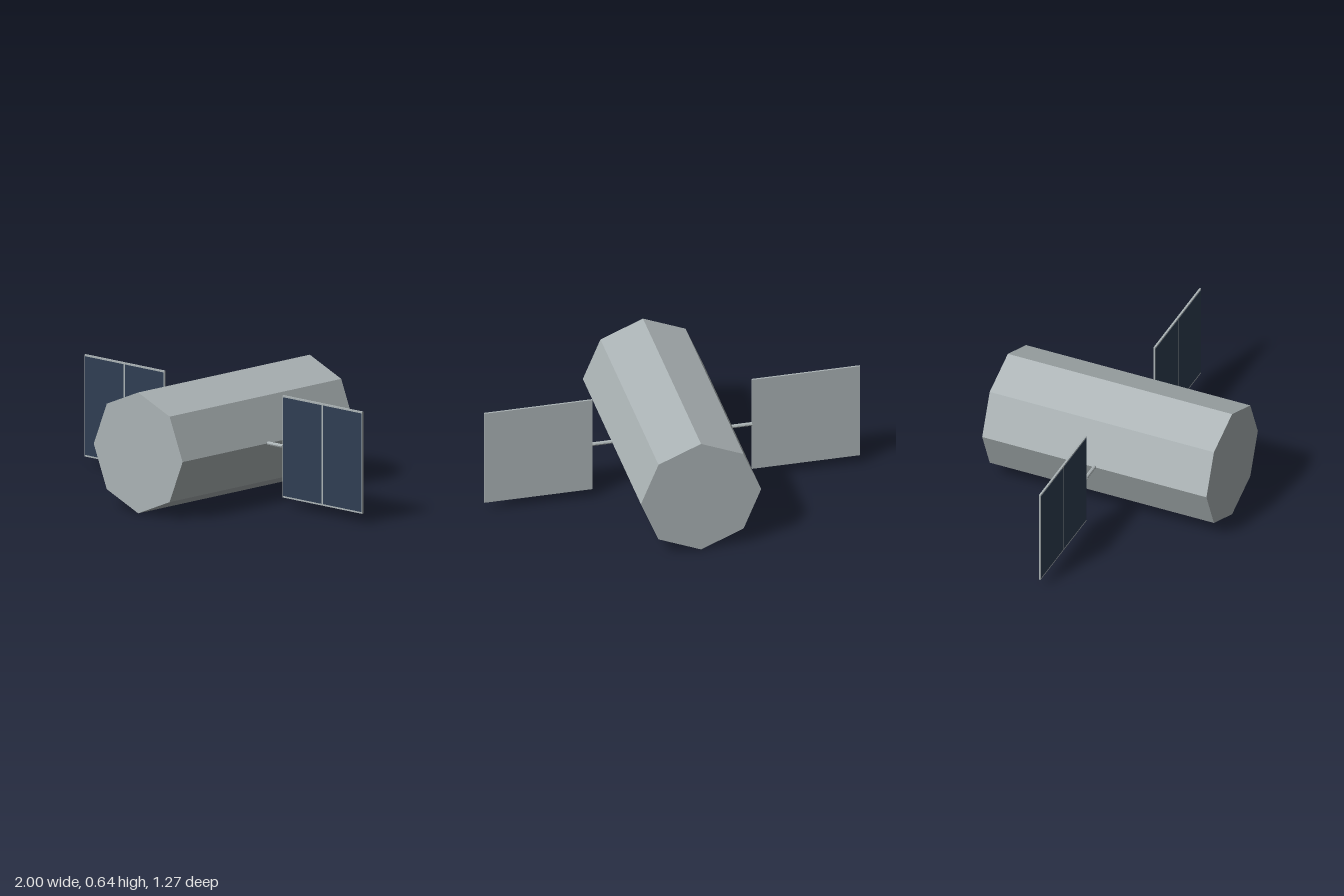
import * as THREE from 'three';

export function createModel() {
  const hull = new THREE.MeshStandardMaterial({ color: 0xabb3b5, flatShading: true });
  hull.name = 'hull grey';
  const navy = new THREE.MeshStandardMaterial({ color: 0x2f3e53, flatShading: true });
  navy.name = 'solar navy';

  const model = new THREE.Group();
  model.name = 'satellite';
  const AXIS_Y = 0.32;

  const add = (parent, name, geometry, material, x, y, z) => {
    const mesh = new THREE.Mesh(geometry, material);
    mesh.name = name;
    mesh.position.set(x, y, z);
    parent.add(mesh);
  };

  // Eight-sided body lying along z, with an edge at the top
  add(model, 'body', new THREE.CylinderGeometry(0.32, 0.32, 1.275, 8).rotateX(Math.PI / 2), hull, 0, AXIS_Y, 0);

  // A strut and a solar wing on each side
  const inner = 0.425, outer = 1, height = 0.54, depth = 0.01;
  const width = outer - inner, middle = (inner + outer) / 2;
  for (const [side, label] of [[1, 'left'], [-1, 'right']]) {
    const wing = new THREE.Group();
    wing.name = label + 'Wing';
    wing.position.y = AXIS_Y;
    model.add(wing);

    add(wing, 'strut', new THREE.CylinderGeometry(0.01, 0.01, 0.135, 8).rotateZ(Math.PI / 2), hull, side * 0.3575, 0, 0);
    add(wing, 'panelFrame', new THREE.BoxGeometry(width, height, depth), hull, side * middle, 0, 0);

    // Two thin solar cells on the front face, parted by a narrow rib
    const cellWidth = width / 2 - 0.01;
    for (const half of [-1, 1]) {
      add(wing, 'solarCell', new THREE.BoxGeometry(cellWidth, height - 0.018, 0.002), navy,
        side * middle + half * (cellWidth / 2 + 0.005), 0, depth / 2);
    }
  }
  return model;
}
